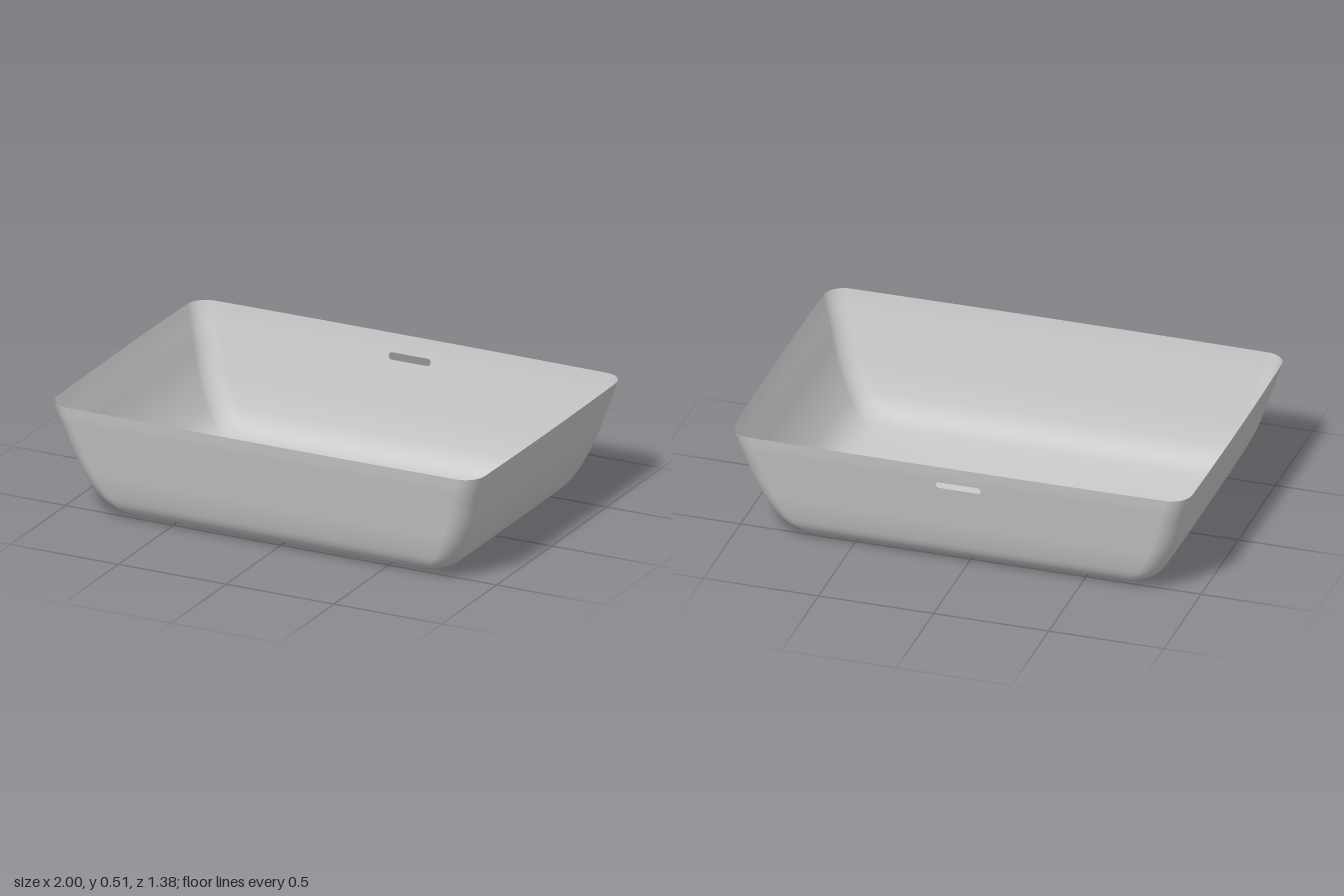
import * as THREE from 'three';
import { mergeVertices } from 'three/addons/utils/BufferGeometryUtils.js';

// Wall and floor profile: height, half width, half depth, corner radius
const PROFILE = [
  [0.515, 1, 0.69, 0.085], [0.46, 0.985, 0.68, 0.085], [0.38, 0.96, 0.661, 0.085],
  [0.28, 0.93, 0.637, 0.087], [0.2, 0.898, 0.618, 0.09], [0.13, 0.862, 0.597, 0.09],
  [0.08, 0.828, 0.577, 0.09], [0.045, 0.79, 0.551, 0.09], [0.022, 0.74, 0.515, 0.09],
  [0.012, 0.66, 0.45, 0.08], [0.008, 0.5, 0.33, 0.06],
];
const STEPS = 4; // rows per profile segment
const SLOT_U = 0.18; // half width of the wall panel holding the slot, as a fraction
const DRAIN = { radius: 0.103, z: 0.01, y: 0.004 };

// Smooth rows through the profile points
function makeRows() {
  const curve = new THREE.CatmullRomCurve3(PROFILE.map(([y, w, d]) => new THREE.Vector3(w, y, d)));
  const rows = [];
  const n = (PROFILE.length - 1) * STEPS;
  for (let i = 0; i <= n; i++) {
    const p = curve.getPoint(i / n);
    const k = Math.min(Math.floor(i / STEPS), PROFILE.length - 2);
    const r = THREE.MathUtils.lerp(PROFILE[k][3], PROFILE[k + 1][3], i / STEPS - k);
    rows.push({ y: p.y, w: p.x - r, d: p.z - r, r });
  }
  return rows;
}

// Rounded rectangle as fractions (u, v) of the straight sides plus a corner direction
function makeLoop() {
  const loop = [];
  const corners = [[1, 1], [-1, 1], [-1, -1], [1, -1]];
  const longSide = [0.75, 0.45, SLOT_U, -SLOT_U, -0.45, -0.75];
  const shortSide = [0.6, 0.2, -0.2, -0.6];
  corners.forEach(([u, v], k) => {
    for (let i = 0; i <= 8; i++) {
      const a = (k + i / 8) * Math.PI / 2;
      loop.push({ u, v, dx: Math.cos(a), dz: Math.sin(a) });
    }
    if (k % 2 === 0) for (const f of longSide) loop.push({ u: f * u, v, dx: 0, dz: v });
    else for (const f of shortSide) loop.push({ u, v: f * v, dx: u, dz: 0 });
  });
  return loop;
}

function makeBasinGeometry() {
  const rows = makeRows();
  const loop = makeLoop();
  const n = loop.length;
  const pos = [];
  const index = [];

  for (const { y, w, d, r } of rows) {
    for (const t of loop) pos.push(t.u * w + t.dx * r, y, t.v * d + t.dz * r);
  }
  // Innermost ring: the round drain opening
  const last = rows[rows.length - 1];
  for (const t of loop) {
    const a = Math.atan2(t.v * last.d + t.dz * last.r, t.u * last.w + t.dx * last.r);
    pos.push(Math.cos(a) * DRAIN.radius, DRAIN.y, DRAIN.z + Math.sin(a) * DRAIN.radius);
  }

  // Skin, leaving out the back panel that carries the slot
  const slotColumn = loop.findIndex((t) => t.dz === -1 && t.u === -SLOT_U);
  for (let j = 0; j < rows.length; j++) {
    for (let i = 0; i < n; i++) {
      if (i === slotColumn && j >= STEPS && j < 2 * STEPS) continue;
      const a = j * n + i, b = j * n + (i + 1) % n;
      index.push(a + n, a, b, a + n, b, b + n);
    }
  }

  // Back panel with a round-ended overflow slot, laid onto the wall
  const panelRows = rows.slice(STEPS, 2 * STEPS + 1);
  const edge = (s) => panelRows.map((q) => new THREE.Vector2(s * SLOT_U * q.w, q.y));
  const panel = new THREE.Shape([...edge(-1), ...edge(1).reverse()]);
  const slot = new THREE.Path();
  slot.absarc(0.083, 0.42, 0.015, -Math.PI / 2, Math.PI / 2);
  slot.absarc(-0.083, 0.42, 0.015, Math.PI / 2, Math.PI * 1.5);
  slot.closePath();
  panel.holes.push(slot);
  const flat = new THREE.ShapeGeometry(panel, 10);
  const p = flat.attributes.position;
  const base = pos.length / 3;
  for (let i = 0; i < p.count; i++) {
    const y = p.getY(i);
    let k = 0;
    while (k < panelRows.length - 2 && y < panelRows[k + 1].y) k++;
    const q0 = panelRows[k], q1 = panelRows[k + 1];
    const z = THREE.MathUtils.mapLinear(y, q0.y, q1.y, q0.d + q0.r, q1.d + q1.r);
    pos.push(p.getX(i), y, -z);
  }
  const f = flat.index.array;
  for (let i = 0; i < f.length; i += 3) index.push(base + f[i], base + f[i + 2], base + f[i + 1]);

  // Slight outward bow of the four sides
  for (let i = 0; i < pos.length; i += 3) {
    const x = pos[i], z = pos[i + 2];
    pos[i] = x * (1 - 0.015 * z * z);
    pos[i + 2] = z * (1 - 0.01 * x * x);
  }

  const geometry = new THREE.BufferGeometry();
  geometry.setAttribute('position', new THREE.Float32BufferAttribute(pos, 3));
  geometry.setIndex(index);
  const merged = mergeVertices(geometry, 1e-5);
  merged.computeVertexNormals();
  return merged;
}

export function createModel() {
  const group = new THREE.Group();
  group.name = 'washbasin';
  const material = new THREE.MeshStandardMaterial({ color: 0xcccccc, side: THREE.DoubleSide });

  const basin = new THREE.Mesh(makeBasinGeometry(), material);
  basin.name = 'basin';
  group.add(basin);

  // Flat drain cover in the middle of the floor
  const drain = new THREE.Mesh(new THREE.CircleGeometry(DRAIN.radius + 0.001, 48), material);
  drain.name = 'drainCover';
  drain.rotation.x = -Math.PI / 2;
  drain.position.set(0, 0, DRAIN.z);
  group.add(drain);

  return group;
}
